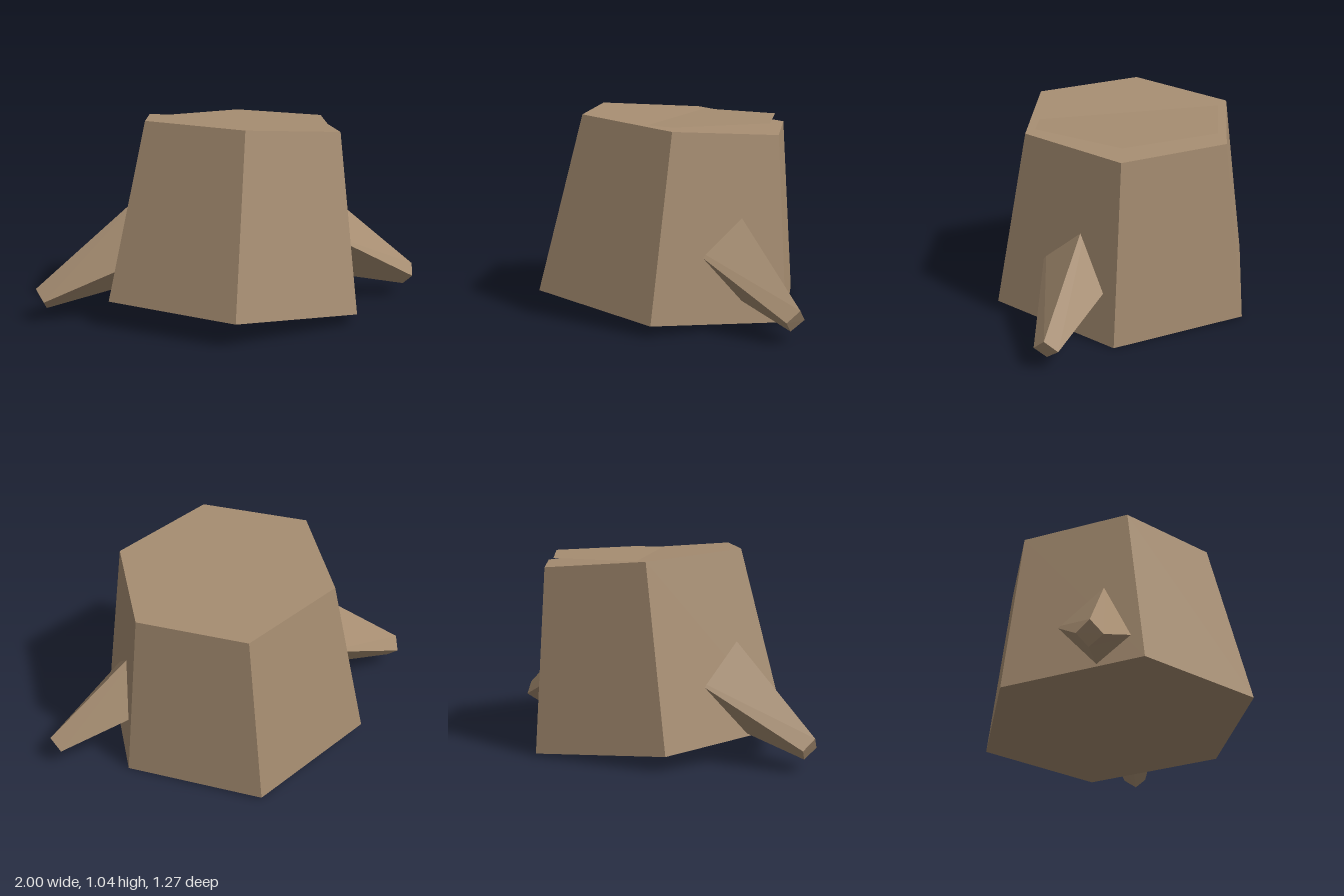
import * as THREE from 'three';

const bark = new THREE.MeshStandardMaterial({ color: 0xa68d71, flatShading: true, side: THREE.DoubleSide });
bark.name = 'bark brown';

// Closed solid between two rings of the same number of corners
function loft(name, base, end) {
  const n = base.length, points = [];
  for (let i = 0; i < n; i++) {
    const j = (i + 1) % n;
    points.push(base[i], end[i], end[j], base[i], end[j], base[j]);
    if (i > 0 && i < n - 1) points.push(end[0], end[j], end[i], base[0], base[i], base[j]);
  }
  const geometry = new THREE.BufferGeometry().setFromPoints(points);
  geometry.computeVertexNormals();
  const mesh = new THREE.Mesh(geometry, bark);
  mesh.name = name;
  return mesh;
}

// Hexagon lying on a sloping plane
function hexRing(cx, cy, cz, radius, slopeX, slopeZ) {
  return Array.from({ length: 6 }, (_, i) => {
    const x = radius * Math.cos(i * Math.PI / 3), z = radius * Math.sin(i * Math.PI / 3);
    return new THREE.Vector3(cx + x, cy + slopeX * x + slopeZ * z, cz + z);
  });
}

// Four-sided tapering root, run back into the trunk
function makeRoot(name) {
  const v = (x, y, z) => new THREE.Vector3(x, y, z);
  const tip = [v(0.96, 0.115, 0.36), v(1, 0.17, 0.305), v(0.985, 0.11, 0.24), v(0.945, 0.06, 0.3)];
  const surface = [v(0.49, 0.36, 0.37), v(0.58, 0.54, 0.175), v(0.68, 0.265, 0.06), v(0.6, 0.135, 0.205)];
  const inner = surface.map((p, i) => tip[i].clone().lerp(p, 1.35));
  return loft(name, inner, tip);
}

export function createModel() {
  const model = new THREE.Group();
  model.name = 'treeStump';

  // Leaning trunk
  model.add(loft('trunk',
    hexRing(0, 0.07, 0, 0.732, -0.092, 0.035),
    hexRing(0.08, 0.99, -0.032, 0.572, -0.088, 0.03)));

  // Level cut face, half sunk into the sloping top
  const cut = new THREE.Mesh(new THREE.CircleGeometry(0.52, 6).rotateX(-Math.PI / 2), bark);
  cut.name = 'cutFace';
  cut.position.set(0.08, 0.995, -0.033);
  model.add(cut);

  // Roots on opposite sides
  const rightRoot = makeRoot('rightRoot');
  rightRoot.rotation.y = Math.PI;
  model.add(makeRoot('leftRoot'), rightRoot);

  return model;
}
